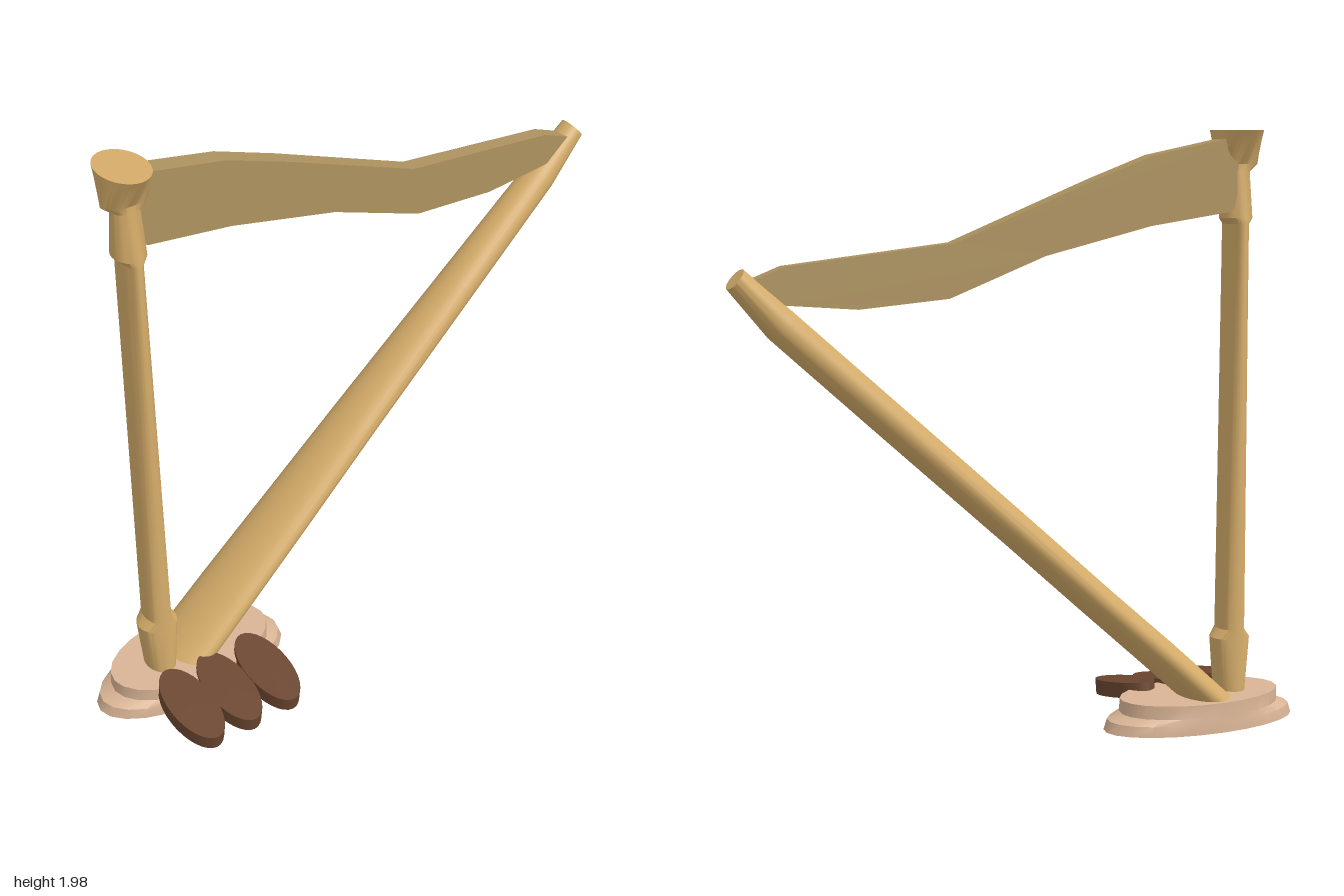
import * as THREE from 'three';
import { toCreasedNormals } from 'three/addons/utils/BufferGeometryUtils.js';

const WOOD = 0xd6ad6a, NECK = 0xad925f, PALE = 0xd9b495, DARK = 0x6b4630;

function part(name, geometry, color) {
  const mesh = new THREE.Mesh(geometry, new THREE.MeshStandardMaterial({ color }));
  mesh.name = name;
  return mesh;
}

// Skin closed ellipses [x, y, z, radiusX, radiusZ, tilt about x] from bottom to top, with caps
function loft(sections, sides) {
  const pos = [], index = [];
  const v = new THREE.Vector3(), xAxis = new THREE.Vector3(1, 0, 0);
  for (const [x, y, z, rx, rz, tilt = 0] of sections) {
    for (let i = 0; i < sides; i++) {
      const a = (i / sides) * Math.PI * 2;
      v.set(Math.cos(a) * rx, 0, Math.sin(a) * rz).applyAxisAngle(xAxis, tilt);
      pos.push(x + v.x, y + v.y, z + v.z);
    }
  }
  const last = sections.length - 1;
  const bottom = pos.length / 3, top = bottom + 1;
  pos.push(...sections[0].slice(0, 3), ...sections[last].slice(0, 3));
  for (let i = 0; i < sides; i++) {
    const j = (i + 1) % sides;
    for (let s = 0; s < last; s++) {
      const a = s * sides, b = a + sides;
      index.push(a + i, b + i, a + j, a + j, b + i, b + j);
    }
    index.push(bottom, i, j, top, last * sides + j, last * sides + i);
  }
  const g = new THREE.BufferGeometry();
  g.setAttribute('position', new THREE.Float32BufferAttribute(pos, 3));
  g.setIndex(index);
  return toCreasedNormals(g, 0.5);
}

export function createModel() {
  const harp = new THREE.Group();
  harp.name = 'harp';

  // Stepped oval foot
  const foot = [[0, 0.168, 0.353], [0.035, 0.167, 0.34], [0.055, 0.165, 0.293], [0.1, 0.164, 0.291]];
  harp.add(part('base', loft(foot.map(([y, rx, rz]) => [-0.117, y, 0.645, rx, rz]), 24), PALE));

  // Upright column with flared foot, collar and capital: [y, radiusX, radiusZ]
  const column = [
    [0.08, 0.067, 0.046], [0.28, 0.067, 0.067], [0.31, 0.067, 0.042], [1.67, 0.067, 0.031],
    [1.69, 0.065, 0.051], [1.84, 0.042, 0.045], [1.865, 0.042, 0.077], [1.975, 0.113, 0.077],
  ];
  harp.add(part('column', loft(column.map(([y, rx, rz]) => [-0.115, y, 0.763, rx, rz]), 32), WOOD));

  // Slanting soundbox, wide at the foot and narrow at the shoulder
  harp.add(part('soundbox', loft([
    [-0.136, 0.08, 0.665, 0.128, 0.083],
    [-0.137, 0.25, 0.475, 0.122, 0.056, -0.85],
    [-0.141, 0.45, 0.245, 0.112, 0.055, -0.85],
    [-0.145, 0.72, -0.06, 0.097, 0.055, -0.85],
    [-0.148, 1.1, -0.493, 0.075, 0.055, -0.85],
    [-0.15, 1.40, -0.834, 0.057, 0.054, -0.85],
    [-0.15, 1.538, -0.971, 0.043, 0.038, -0.88],
  ], 32), WOOD));

  // Curved neck, drawn in (z, y), then tapered and leaned toward the shoulder
  const outline = [
    [0.74, 1.955], [0.69, 1.945], [0.43, 1.895], [0.22, 1.82], [-0.27, 1.63], [-0.82, 1.572], [-0.93, 1.53],
    [-0.9, 1.47], [-0.82, 1.457], [-0.59, 1.437], [-0.29, 1.46], [0.04, 1.583], [0.42, 1.67], [0.71, 1.71], [0.74, 1.73],
  ].map(([z, y]) => new THREE.Vector2(z, y));
  const neck = new THREE.ExtrudeGeometry(new THREE.Shape(outline), { depth: 1, bevelEnabled: false });
  neck.translate(0, 0, -0.5).rotateY(-Math.PI / 2);
  const p = neck.attributes.position;
  for (let i = 0; i < p.count; i++) {
    const t = (0.74 - p.getZ(i)) / 1.67;
    p.setX(i, -0.125 - 0.018 * t + p.getX(i) * (0.072 - 0.022 * t));
  }
  neck.computeVertexNormals();
  harp.add(part('neck', neck, NECK));

  // Three oval pedals sloping down beside the foot
  const pedals = new THREE.Group();
  pedals.name = 'pedals';
  [0.492, 0.643, 0.788].forEach((z, i) => {
    const pedal = part('pedal' + (i + 1), new THREE.CylinderGeometry(1, 1, 0.052, 32), DARK);
    pedal.scale.set(0.16, 1, 0.077);
    pedal.rotation.z = -0.165;
    pedal.position.set(0.12, i === 1 ? 0.073 : 0.077, z);
    pedals.add(pedal);
  });
  harp.add(pedals);

  return harp;
}
